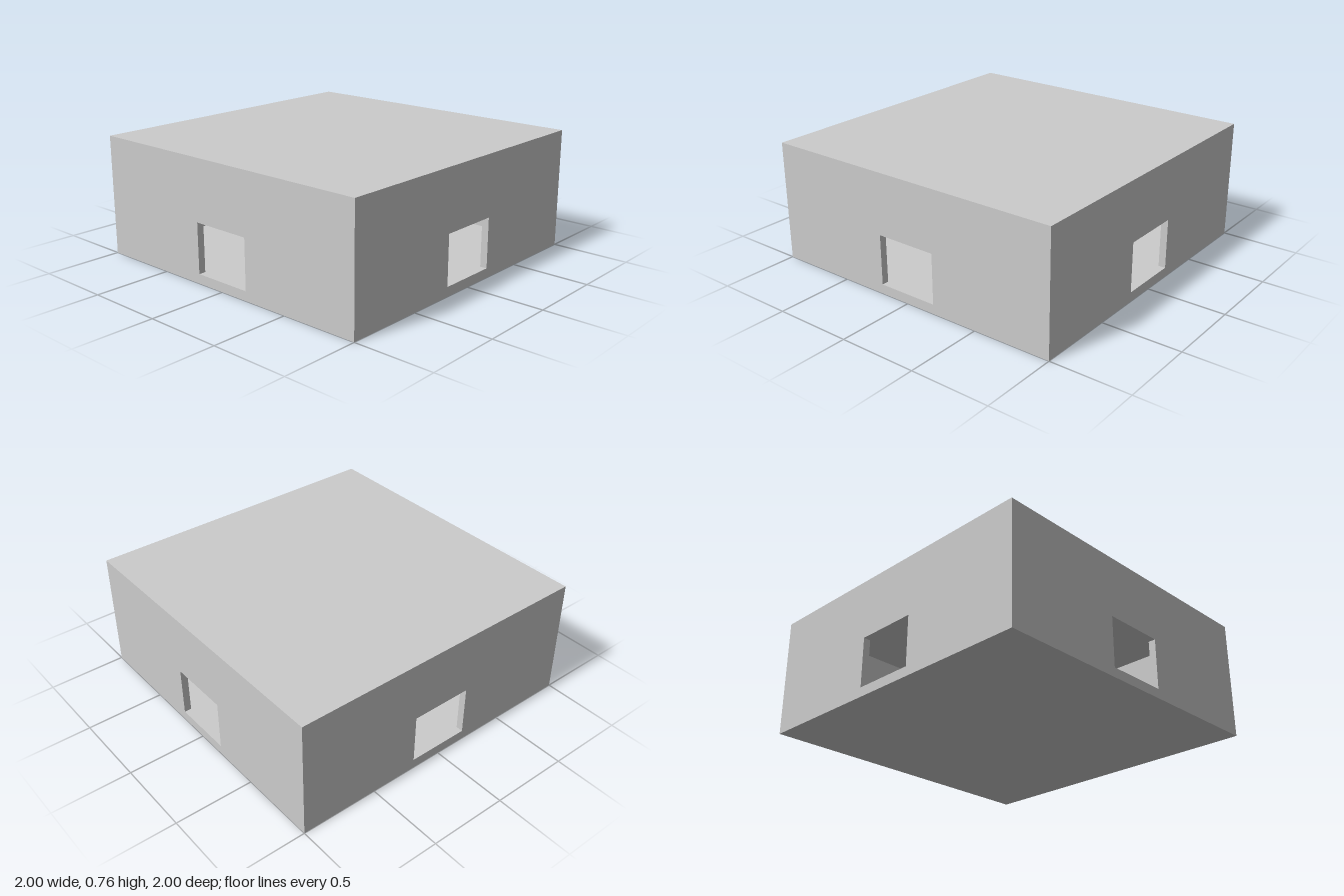
import * as THREE from 'three';

const HALF = 1, HEIGHT = 0.765;            // building shell
const WIN = 0.198, SILL = 0.06, HEAD = 0.377; // window half width, bottom, top
const REVEAL = 0.045;                      // depth of the window lining

const material = new THREE.MeshStandardMaterial({ color: 0xcccccc, side: THREE.DoubleSide, flatShading: true });

function rectangle(path, x0, y0, x1, y1) {
  path.moveTo(x0, y0).lineTo(x1, y0).lineTo(x1, y1).lineTo(x0, y1).closePath();
  return path;
}

function panel(name, width, height, position, rotation) {
  const mesh = new THREE.Mesh(new THREE.PlaneGeometry(width, height), material);
  mesh.name = name;
  mesh.position.set(...position);
  mesh.rotation.set(...rotation);
  return mesh;
}

// One wall facing +z with a window opening and its lining
function createWall(name) {
  const wall = new THREE.Group();
  wall.name = name;

  const shape = rectangle(new THREE.Shape(), -HALF, 0, HALF, HEIGHT);
  shape.holes.push(rectangle(new THREE.Path(), -WIN, SILL, WIN, HEAD));
  const face = new THREE.Mesh(new THREE.ShapeGeometry(shape), material);
  face.name = 'wallFace';
  face.position.z = HALF;
  wall.add(face);

  const z = HALF - REVEAL / 2, midY = (SILL + HEAD) / 2, q = Math.PI / 2;
  wall.add(
    panel('windowSill', 2 * WIN, REVEAL, [0, SILL, z], [-q, 0, 0]),
    panel('windowHead', 2 * WIN, REVEAL, [0, HEAD, z], [q, 0, 0]),
    panel('windowJambRight', REVEAL, HEAD - SILL, [-WIN, midY, z], [0, q, 0]),
    panel('windowJambLeft', REVEAL, HEAD - SILL, [WIN, midY, z], [0, -q, 0])
  );
  return wall;
}

export function createModel() {
  const model = new THREE.Group();
  model.name = 'building';

  // Four matching walls around the centre
  ['frontWall', 'leftWall', 'backWall', 'rightWall'].forEach((name, i) => {
    const wall = createWall(name);
    wall.rotation.y = i * Math.PI / 2;
    model.add(wall);
  });

  // Flat roof and floor
  model.add(
    panel('roof', 2 * HALF, 2 * HALF, [0, HEIGHT, 0], [-Math.PI / 2, 0, 0]),
    panel('floor', 2 * HALF, 2 * HALF, [0, 0, 0], [Math.PI / 2, 0, 0])
  );
  return model;
}
